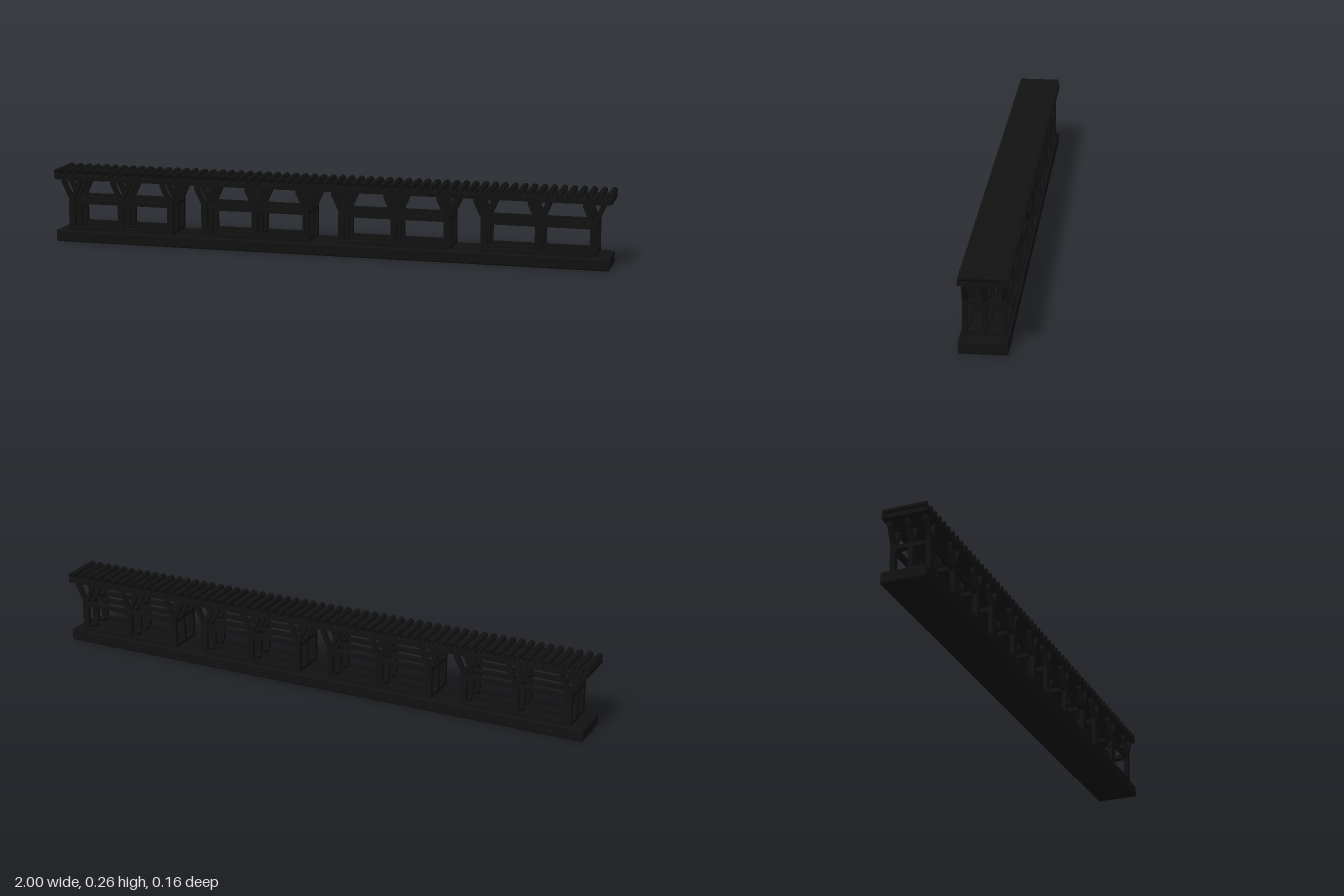
import * as THREE from 'three';
import { RoundedBoxGeometry } from 'three/addons/geometries/RoundedBoxGeometry.js';

const material = new THREE.MeshStandardMaterial({ color: 0x111111 });

function add(parent, name, geometry, x, y, z) {
  const mesh = new THREE.Mesh(geometry, material);
  mesh.name = name;
  mesh.position.set(x, y, z);
  parent.add(mesh);
  return mesh;
}

const box = (w, h, d) => new THREE.BoxGeometry(w, h, d);

// Slanted strut of the Y-shaped post head, leaning towards +x
function strutGeometry(depth) {
  const shape = new THREE.Shape([
    new THREE.Vector2(0, 0.16),
    new THREE.Vector2(0.011, 0.16),
    new THREE.Vector2(0.037, 0.215),
    new THREE.Vector2(0.037, 0.23),
    new THREE.Vector2(0.027, 0.23),
    new THREE.Vector2(0.0, 0.171),
  ]);
  return new THREE.ExtrudeGeometry(shape, { depth, bevelEnabled: false }).translate(0, 0, -depth / 2);
}

export function createModel() {
  const model = new THREE.Group();
  model.name = 'rollerConveyor';

  const postWidth = 0.016;
  const rows = [-0.061, 0, 0.061];
  const spacing = 0.186;

  // Base slab with softened edges
  add(model, 'base', new RoundedBoxGeometry(1.99, 0.043, 0.156, 3, 0.007), 0, 0.0215, 0);

  // Four support frames, each with three rows of three posts
  const postGeo = box(0.022, 0.132, postWidth);
  const strutGeo = strutGeometry(postWidth);
  const lowRail = box(spacing * 2, 0.018, postWidth);
  const midRail = box(spacing * 2, 0.015, postWidth);
  const lowTie = box(0.022, 0.018, 0.122);
  const midTie = box(0.022, 0.015, 0.122);
  const headTie = box(0.074, 0.006, postWidth);

  for (const bayX of [-0.75, -0.25, 0.25, 0.75]) {
    const frame = new THREE.Group();
    frame.name = 'supportFrame';
    frame.position.x = bayX;
    model.add(frame);

    for (const z of rows) {
      add(frame, 'lowerRail', lowRail, 0, 0.048, z);
      add(frame, 'middleRail', midRail, 0, 0.148, z);
    }
    for (const x of [-spacing, 0, spacing]) {
      add(frame, 'lowerCrossTie', lowTie, x, 0.048, 0);
      add(frame, 'middleCrossTie', midTie, x, 0.148, 0);
      for (const z of rows) {
        add(frame, 'post', postGeo, x, 0.105, z);
        add(frame, 'rightStrut', strutGeo, x, 0, z);
        // Half turn gives the opposite strut
        add(frame, 'leftStrut', strutGeo, x, 0, z).rotation.y = Math.PI;
        add(frame, 'headPlate', headTie, x, 0.226, z);
      }
    }
  }

  // Deck carrying the rollers
  add(model, 'deck', box(1.994, 0.015, 0.156), 0, 0.235, 0);

  // Row of hollow rollers lying across the deck
  const outer = 0.011, inner = 0.008, half = 0.0745;
  const tube = new THREE.LatheGeometry([
    new THREE.Vector2(inner, half),
    new THREE.Vector2(inner, -half),
    new THREE.Vector2(outer, -half),
    new THREE.Vector2(outer, half),
    new THREE.Vector2(inner, half),
  ], 16).rotateX(Math.PI / 2);
  const count = 59;
  for (let i = 0; i < count; i++) {
    const x = -0.989 + (1.978 * i) / (count - 1);
    add(model, 'roller', tube, x, 0.253, 0);
  }

  return model;
}
